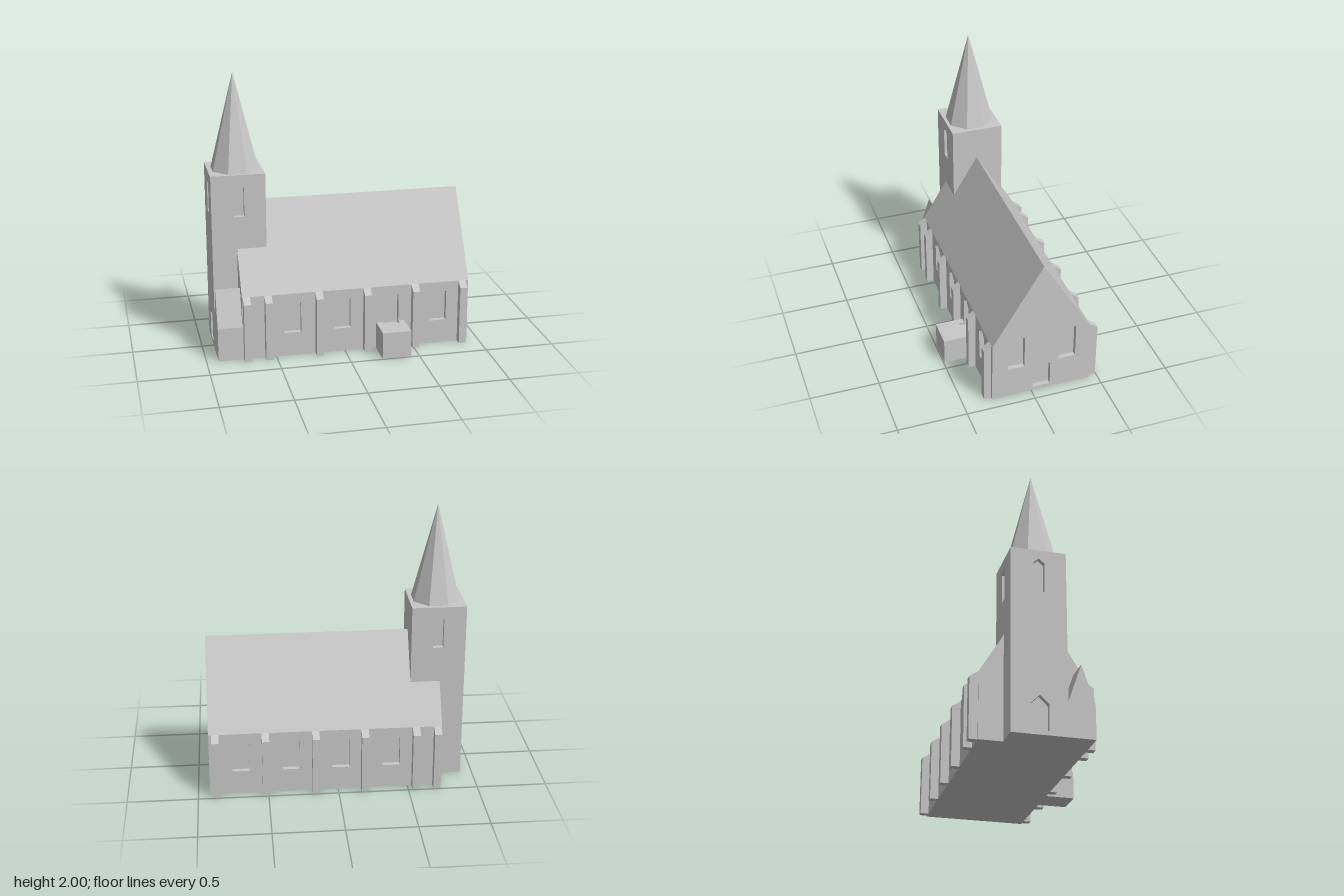
import * as THREE from 'three';

export function createModel() {
  const model = new THREE.Group();
  const stone = new THREE.MeshStandardMaterial({ color: 0xc8c8c8 });
  stone.name = 'pale stone';

  const RECESS = 0.035;
  const EAVE = 0.47, RIDGE = 1.073;
  const X0 = -0.74, X1 = 0.915;          // nave ends
  const Z0 = -0.436, Z1 = 0.29;          // nave sides
  const ZC = (Z0 + Z1) / 2;
  const TX0 = -0.915, TX1 = -0.53, TZ0 = -0.27, TZ1 = 0.11, TOP = 1.31; // tower
  const TXC = -0.72, TZC = -0.077;

  const add = (name, geometry, parent = model) => {
    const mesh = new THREE.Mesh(geometry, stone);
    mesh.name = name;
    parent.add(mesh);
    return mesh;
  };
  const group = (name) => {
    const g = new THREE.Group();
    g.name = name;
    model.add(g);
    return g;
  };
  const box = (x0, x1, y0, y1, z0, z1) =>
    new THREE.BoxGeometry(x1 - x0, y1 - y0, z1 - z0)
      .translate((x0 + x1) / 2, (y0 + y1) / 2, (z0 + z1) / 2);
  const points = (list) => list.map(([a, b]) => new THREE.Vector2(a, b));
  const rect = (a0, a1, b0, b1) => [[a0, b0], [a1, b0], [a1, b1], [a0, b1]];
  // Pointed opening: centre, sill, shoulder, peak, width
  const opening = (c, sill, shoulder, peak, w) =>
    [[c - w / 2, sill], [c + w / 2, sill], [c + w / 2, shoulder], [c, peak], [c - w / 2, shoulder]];

  const extrude = (outline, holes, depth) => {
    const shape = new THREE.Shape(points(outline));
    holes.forEach((h) => shape.holes.push(new THREE.Path(points(h))));
    return new THREE.ExtrudeGeometry(shape, { depth, bevelEnabled: false });
  };
  // Outline in (x, y), running from z0 to z1
  const alongZ = (outline, holes, z0, z1) => extrude(outline, holes, z1 - z0).translate(0, 0, z0);
  // Outline in (z, y), running from x0 to x1
  const alongX = (outline, holes, x0, x1) =>
    extrude(outline, holes, x1 - x0).rotateY(-Math.PI / 2).translate(x1, 0, 0);

  // Nave: solid core and roof, with window walls laid around it
  const nave = group('nave');
  const inner = X1 - RECESS;
  add('naveCore', box(X0, inner, 0, EAVE, Z0 + RECESS, Z1 - RECESS), nave);
  add('naveRoof', alongX([[Z0, EAVE], [Z1, EAVE], [ZC, RIDGE]], [], X0, X1 - RECESS), nave);
  const sideWindows = [-0.38, -0.02, 0.333, 0.69].map((x) => opening(x, 0.175, 0.395, 0.445, 0.123));
  const sideWall = rect(X0, inner, 0, EAVE);
  add('frontWall', alongZ(sideWall, sideWindows, Z1 - RECESS, Z1), nave);
  add('backWall', alongZ(sideWall, sideWindows, Z0, Z0 + RECESS), nave);
  add('gableWall', alongX(
    [[Z0, 0], [Z1, 0], [Z1, EAVE], [ZC, RIDGE], [Z0, EAVE]],
    [
      opening(0.115, 0.24, 0.495, 0.548, 0.123),
      opening(-0.262, 0.24, 0.495, 0.548, 0.123),
      opening(-0.074, 0.03, 0.215, 0.275, 0.13),
    ], inner, X1), nave);

  // Buttresses with sloped caps along both sides
  const buttresses = group('buttresses');
  for (const x of [-0.708, -0.555, -0.19, 0.16, 0.515, 0.867]) {
    const a = x - 0.026, b = x + 0.026;
    add('frontButtress', alongX(
      [[Z1, 0], [Z1 + 0.053, 0], [Z1 + 0.053, 0.43], [Z1, EAVE]], [], a, b), buttresses);
    add('backButtress', alongX(
      [[Z0 - 0.059, 0], [Z0, 0], [Z0, EAVE], [Z0 - 0.059, 0.43]], [], a, b), buttresses);
  }

  // Tower: core plus walls with recessed openings on three sides
  const tower = group('tower');
  const belfry = (c) => opening(c, 1.005, 1.215, 1.25, 0.075);
  add('towerCore', box(TX0 + RECESS, TX1, 0, TOP, TZ0 + RECESS, TZ1 - RECESS), tower);
  const towerWall = rect(TX0, TX1, 0, TOP);
  add('towerFront', alongZ(towerWall, [belfry(TXC)], TZ1 - RECESS, TZ1), tower);
  add('towerBack', alongZ(towerWall, [belfry(TXC)], TZ0, TZ0 + RECESS), tower);
  add('towerEntranceWall', alongX(
    rect(TZ0 + RECESS, TZ1 - RECESS, 0, TOP),
    [belfry(TZC), opening(TZC, 0.03, 0.21, 0.27, 0.12)], TX0, TX0 + RECESS), tower);

  // Eight-sided spire, flat sides facing the tower walls
  const spire = new THREE.ConeGeometry(0.176, 2 - TOP, 8, 1).toNonIndexed();
  spire.computeVertexNormals();
  spire.rotateY(Math.PI / 8).translate(TXC, (2 + TOP) / 2, TZC);
  add('spire', spire, tower);

  // Small gabled annex beside the tower
  add('annex', alongX(
    [[TZ1, 0], [Z1, 0], [Z1, 0.245], [0.2, 0.51], [TZ1, 0.245]], [], TX0, X0));

  // Flat-roofed porch, notched below the window behind it
  const porch = group('porch');
  const PX0 = 0.23, PX1 = 0.438, PZ = 0.493;
  add('porchBase', box(PX0, PX1, 0, 0.175, Z1, PZ), porch);
  add('porchTop', box(PX0, PX1, 0.175, 0.197, 0.33, PZ), porch);
  add('porchTopLeft', box(0.3945, PX1, 0.175, 0.197, Z1, 0.33), porch);
  add('porchTopRight', box(PX0, 0.2715, 0.175, 0.197, Z1, 0.33), porch);

  return model;
}
